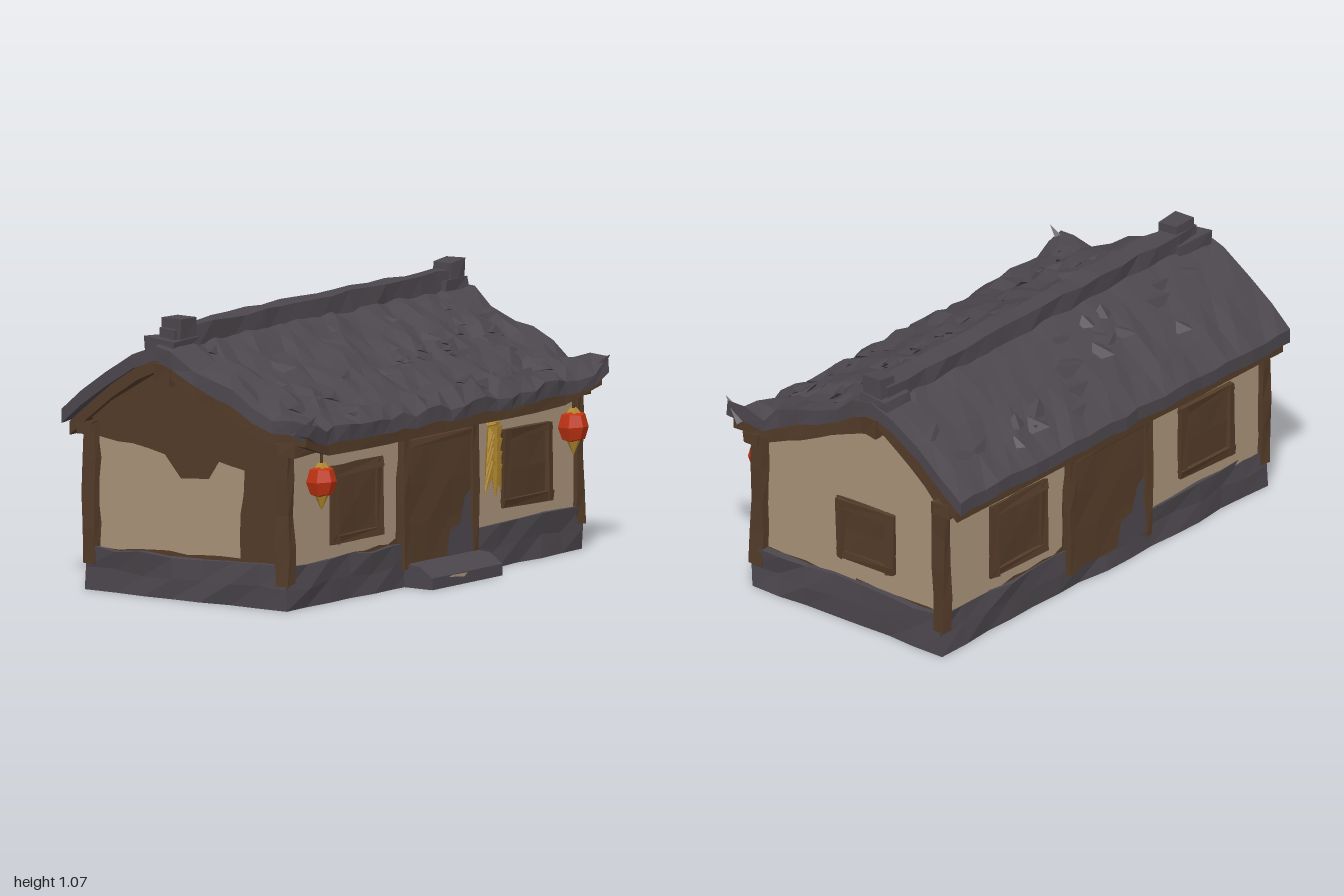
import * as THREE from 'three';
import { mergeGeometries } from 'three/addons/utils/BufferGeometryUtils.js';

const material = (name, color) => {
  const m = new THREE.MeshStandardMaterial({ color });
  m.name = name;
  return m;
};

export function createModel() {
  const slate = material('slate', 0x4c474d);
  const wood = material('wood', 0x543c29);
  const plaster = material('plaster', 0xa9937a);
  const red = material('lanternRed', 0xc23413);
  const gold = material('gold', 0xb48a2e);

  const house = new THREE.Group();
  house.name = 'cottage';

  // Seeded noise by position, so shared corners move together
  const hash = (x, y, z, k) => {
    const s = Math.sin(Math.round(x * 500) * 12.9898 + Math.round(y * 500) * 78.233 + Math.round(z * 500) * 37.719 + k * 4.1) * 43758.5453;
    return (s - Math.floor(s)) * 2 - 1;
  };
  let seed = 7;
  const rand = () => (seed = (seed * 16807) % 2147483647) / 2147483647;

  // Faceted geometry with wobbly vertices
  function rough(geometry, amp) {
    const p = geometry.attributes.position;
    for (let i = 0; i < p.count; i++) {
      const [x, y, z] = [p.getX(i), p.getY(i), p.getZ(i)];
      p.setXYZ(i, x + hash(x, y, z, 1) * amp, y + hash(x, y, z, 2) * amp, z + hash(x, y, z, 3) * amp);
    }
    const g = geometry.index ? geometry.toNonIndexed() : geometry;
    g.computeVertexNormals();
    return g;
  }
  function add(parent, name, geometry, mat) {
    const mesh = new THREE.Mesh(geometry, mat);
    mesh.name = name;
    parent.add(mesh);
    return mesh;
  }
  // Box given by its limits
  function block(parent, name, x0, x1, y0, y1, z0, z1, mat, amp = 0.006, seg = [1, 1, 1]) {
    const g = new THREE.BoxGeometry(x1 - x0, y1 - y0, z1 - z0, ...seg);
    g.translate((x0 + x1) / 2, (y0 + y1) / 2, (z0 + z1) / 2);
    return add(parent, name, rough(g, amp), mat);
  }
  // Extrude a (z, y) side profile along x
  function sideExtrude(points, x0, x1) {
    const shape = new THREE.Shape(points.map(([z, y]) => new THREE.Vector2(z, y)));
    const g = new THREE.ExtrudeGeometry(shape, { depth: x1 - x0, bevelEnabled: false });
    return g.rotateY(-Math.PI / 2).translate(x1, 0, 0);
  }
  // Thin painted patch with ragged edges
  function patch(parent, name, points, mat, lift = 0.005, amp = 0.009) {
    const out = [];
    points.forEach(([x, y], i) => {
      const [nx, ny] = points[(i + 1) % points.length];
      const n = Math.max(1, Math.round(Math.hypot(nx - x, ny - y) / 0.08));
      for (let k = 0; k < n; k++) {
        const px = x + (nx - x) * k / n, py = y + (ny - y) * k / n;
        out.push(new THREE.Vector2(px + hash(px, py, 0, 5) * amp, py + hash(px, py, 0, 6) * amp));
      }
    });
    add(parent, name, new THREE.ShapeGeometry(new THREE.Shape(out)), mat).position.z = lift;
  }
  // Shuttered window with a four-board frame
  function shutterWindow(parent, x, y, w, h) {
    const g = new THREE.Group();
    g.name = 'window';
    parent.add(g);
    const a = w / 2, b = h / 2, t = 0.035;
    block(g, 'shutter', x - a, x + a, y - b, y + b, -0.01, 0.012, wood, 0.005, [2, 2, 1]);
    for (const s of [-1, 1]) {
      const fx = x + s * (a - t / 2), fy = y + s * (b - t / 2);
      block(g, 'frameSide', fx - t / 2, fx + t / 2, y - b, y + b, -0.01, 0.025, wood);
      block(g, 'frameRail', x - a, x + a, fy - t / 2, fy + t / 2, -0.01, 0.025, wood);
    }
  }
  function wall(name, x, z, turn) {
    const g = new THREE.Group();
    g.name = name;
    g.position.set(x, 0, z);
    g.rotation.y = turn;
    house.add(g);
    return g;
  }

  // Timber body, plinth and corner posts
  add(house, 'timberBody', sideExtrude([[0.45, 0.02], [0.45, 0.62], [-0.15, 0.87], [-0.47, 0.68], [-0.47, 0.02]], -0.93, 0.93), wood);
  const plinth = block(house, 'stonePlinth', -0.96, 0.96, 0, 0.165, -0.482, 0.466, slate, 0.01, [14, 2, 7]);
  const pp = plinth.geometry.attributes.position;
  for (let i = 0; i < pp.count; i++) if (pp.getY(i) < 0.02) pp.setY(i, 0);
  plinth.geometry.computeVertexNormals();
  for (const x of [-0.94, 0.94]) for (const z of [-0.465, 0.44])
    block(house, 'cornerPost', x - 0.023, x + 0.023, 0.1, 0.64, z - 0.028, z + 0.028, wood, 0.006, [1, 4, 1]);

  // Long walls: plaster, windows and door
  for (const [name, z, turn] of [['frontWall', 0.45, 0], ['backWall', -0.47, Math.PI]]) {
    const g = wall(name, 0, z, turn);
    patch(g, 'leftPlaster', [[-0.91, 0.13], [-0.6, 0.17], [-0.36, 0.17], [-0.24, 0.19], [-0.23, 0.5], [-0.21, 0.6], [-0.91, 0.6]], plaster);
    patch(g, 'rightPlaster', [[0.26, 0.15], [0.5, 0.15], [0.91, 0.15], [0.92, 0.59], [0.3, 0.6], [0.25, 0.5]], plaster);
    shutterWindow(g, -0.51, 0.37, 0.32, 0.3);
    shutterWindow(g, 0.595, 0.37, 0.31, 0.3);
    block(g, 'door', -0.2, 0.21, 0.08, 0.55, -0.02, 0.026, wood, 0.006, [3, 3, 1]);
    for (const x of [-0.21, 0.235]) block(g, 'doorPost', x - 0.018, x + 0.018, 0.07, 0.6, -0.02, 0.036, wood, 0.005, [1, 4, 1]);
    block(g, 'doorLintel', -0.22, 0.25, 0.535, 0.56, -0.02, 0.036, wood);
    patch(g, 'overdoorPlaster', [[-0.17, 0.568], [0.18, 0.562], [0.18, 0.585], [-0.17, 0.598]], plaster, 0.005, 0.002);
    patch(g, 'doorStain', [[0.05, 0.08], [0.21, 0.08], [0.21, 0.33], [0.17, 0.31], [0.14, 0.2], [0.07, 0.19]], slate, 0.034);
    block(g, 'eaveBeam', -0.97, 0.97, 0.6, 0.645, -0.02, 0.05, wood, 0.007, [10, 1, 1]);
  }

  // Gable walls
  const right = wall('leftGable', 0.93, 0, Math.PI / 2);
  patch(right, 'gablePlaster', [[-0.4, 0.18], [-0.13, 0.17], [-0.12, 0.13], [0.02, 0.12], [0.03, 0.17], [0.4, 0.18], [0.45, 0.16], [0.43, 0.62],
    [0.38, 0.68], [0.17, 0.83], [0.06, 0.8], [-0.15, 0.71], [-0.4, 0.61]], plaster);
  shutterWindow(right, 0.09, 0.38, 0.28, 0.25);
  const left = wall('rightGable', -0.93, 0, -Math.PI / 2);
  patch(left, 'gablePlaster', [[-0.43, 0.17], [0.22, 0.18], [0.24, 0.52], [0.12, 0.55], [0.08, 0.47], [-0.06, 0.46], [-0.12, 0.55], [-0.43, 0.6]], plaster);

  // Roof cross-section as (z, y), front eave to back eave
  const profile = [[0.545, 0.68], [0.48, 0.715], [0.4, 0.742], [0.31, 0.772], [0.22, 0.815], [0.13, 0.85], [0.03, 0.89], [-0.06, 0.935], [-0.15, 0.975],
    [-0.25, 0.93], [-0.38, 0.85], [-0.49, 0.77], [-0.588, 0.69]];
  const roofHeight = z => {
    const i = Math.max(1, profile.findIndex(p => p[0] <= z));
    const [a, b] = [profile[i - 1], profile[i]];
    return a[1] + (b[1] - a[1]) * (z - a[0]) / (b[0] - a[0]);
  };
  // Slab following the roof profile, with turned-up corners
  function roofSlab(half, drop, thick, squeeze, columns, amp) {
    const n = profile.length, pos = [], cols = [];
    for (let j = 0; j <= columns; j++) {
      const x = -half + 2 * half * j / columns, end = Math.pow(Math.abs(x) / half, 14);
      const at = (k, down) => {
        const [z, y] = profile[k], eave = k < 2 ? 1 - k * 0.5 : 0;
        const a = amp * (down ? 0.4 : k < 8 ? 1 : 0.4);
        const course = !down && k < 8 && k % 2 ? 0.012 * (amp > 0.01 ? 1 : 0) : 0;
        return [x + hash(x, y, z, 1) * a * 0.6, y - drop - (down ? thick : 0) + course + end * eave * 0.06 + hash(x, y, z, 2) * a,
          z * squeeze + end * eave * 0.035 + hash(x, y, z, 3) * a * 0.7];
      };
      cols.push([...profile.map((_, k) => at(k, false)), ...profile.map((_, k) => at(n - 1 - k, true))]);
    }
    const quad = (a, b, c, d) => pos.push(...a, ...b, ...c, ...a, ...c, ...d);
    const m = 2 * n;
    for (let j = 0; j < columns; j++) for (let i = 0; i < m; i++)
      quad(cols[j][i], cols[j + 1][i], cols[j + 1][(i + 1) % m], cols[j][(i + 1) % m]);
    const [a, b] = [cols[0], cols[columns]];
    for (let i = 0; i < n - 1; i++) {
      quad(a[i], a[i + 1], a[m - 2 - i], a[m - 1 - i]);
      quad(b[m - 1 - i], b[m - 2 - i], b[i + 1], b[i]);
    }
    const g = new THREE.BufferGeometry();
    g.setAttribute('position', new THREE.Float32BufferAttribute(pos, 3));
    g.computeVertexNormals();
    return g;
  }
  add(house, 'slateRoof', roofSlab(0.975, 0, 0.055, 1, 26, 0.018), slate);
  add(house, 'roofBoards', roofSlab(0.96, 0.05, 0.052, 0.95, 10, 0.006), wood);
  block(house, 'ridgePole', -0.965, 0.965, 0.82, 0.9, -0.16, -0.08, wood);

  // Broken tiles lifting off both slopes
  const tiles = [];
  for (let i = 0; i < 75; i++) {
    const front = i < 52;
    const x = (rand() * 2 - 1) * 0.88, z = front ? rand() * 0.55 - 0.04 : -0.24 - rand() * 0.28;
    const t = new THREE.TetrahedronGeometry(0.04 + rand() * 0.025);
    t.rotateY(rand() * 6).scale(1.3, 0.42, 0.9).rotateX(front ? 0.3 : -0.55);
    tiles.push(t.translate(x, roofHeight(z) + 0.004, z));
  }
  const tileGeometry = mergeGeometries(tiles);
  tileGeometry.computeVertexNormals();
  add(house, 'looseTiles', tileGeometry, slate);

  // Ridge cap with raised ends
  block(house, 'ridgeCap', -0.9, 0.92, 0.92, 1.03, -0.185, -0.1, slate, 0.008, [16, 1, 1]);
  for (const [x0, x1] of [[-0.89, -0.78], [0.87, 0.96]]) {
    block(house, 'ridgeEnd', x0, x1, 0.94, 1.065, -0.178, -0.092, slate, 0.007);
    block(house, 'ridgeEndFoot', x0 - 0.05, x1 + 0.01, 0.9, 0.99, -0.21, -0.08, slate, 0.01);
  }
  // Upswept eave tips
  for (const s of [-1, 1]) {
    const tip = rough(new THREE.ConeGeometry(0.035, 0.12, 4), 0.004).rotateX(0.8);
    add(house, 'eaveTip', tip, slate).position.set(s * 0.955, 0.72, 0.55);
  }

  // Door step
  add(house, 'doorStep', sideExtrude([[0.44, 0], [0.6, 0], [0.6, 0.045], [0.54, 0.085], [0.44, 0.09]], -0.205, 0.25), slate);
  const stepFace = wall('stepWear', 0, 0.6, 0);
  patch(stepFace, 'wornPatch', [[-0.1, 0.038], [0, 0.03], [0.02, 0.042], [-0.08, 0.044]], plaster, 0.003, 0.002);

  // Hanging lanterns
  for (const [x, y] of [[-0.8, 0.485], [0.835, 0.49]]) {
    const g = wall('lantern', x, 0.51, 0.3);
    g.position.y = y;
    add(g, 'lanternBody', rough(new THREE.SphereGeometry(0.06, 6, 4), 0.004).scale(1, 1.1, 1), red);
    add(g, 'lanternCap', rough(new THREE.CylinderGeometry(0.018, 0.036, 0.03, 5), 0.003), gold).position.y = 0.058;
    add(g, 'tassel', rough(new THREE.ConeGeometry(0.03, 0.06, 5), 0.003).rotateX(Math.PI), gold).position.y = -0.078;
    add(g, 'cord', new THREE.CylinderGeometry(0.006, 0.006, 0.1, 4), wood).position.y = 0.11;
  }

  // Hanging bundle of maize
  const maize = wall('maizeBundle', 0.345, 0.475, 0);
  for (let i = 0; i < 12; i++) {
    const row = Math.floor(i / 3), s = (i % 3) - 1;
    const ear = rough(new THREE.ConeGeometry(0.026, 0.13, 5), 0.004).rotateX(Math.PI).rotateZ(s * 0.35);
    add(maize, 'maizeEar', ear, gold).position.set(s * (0.018 + row * 0.005), 0.49 - row * 0.05 + Math.abs(s) * 0.015, 0.012 + (s ? 0 : 0.012));
  }
  return house;
}
